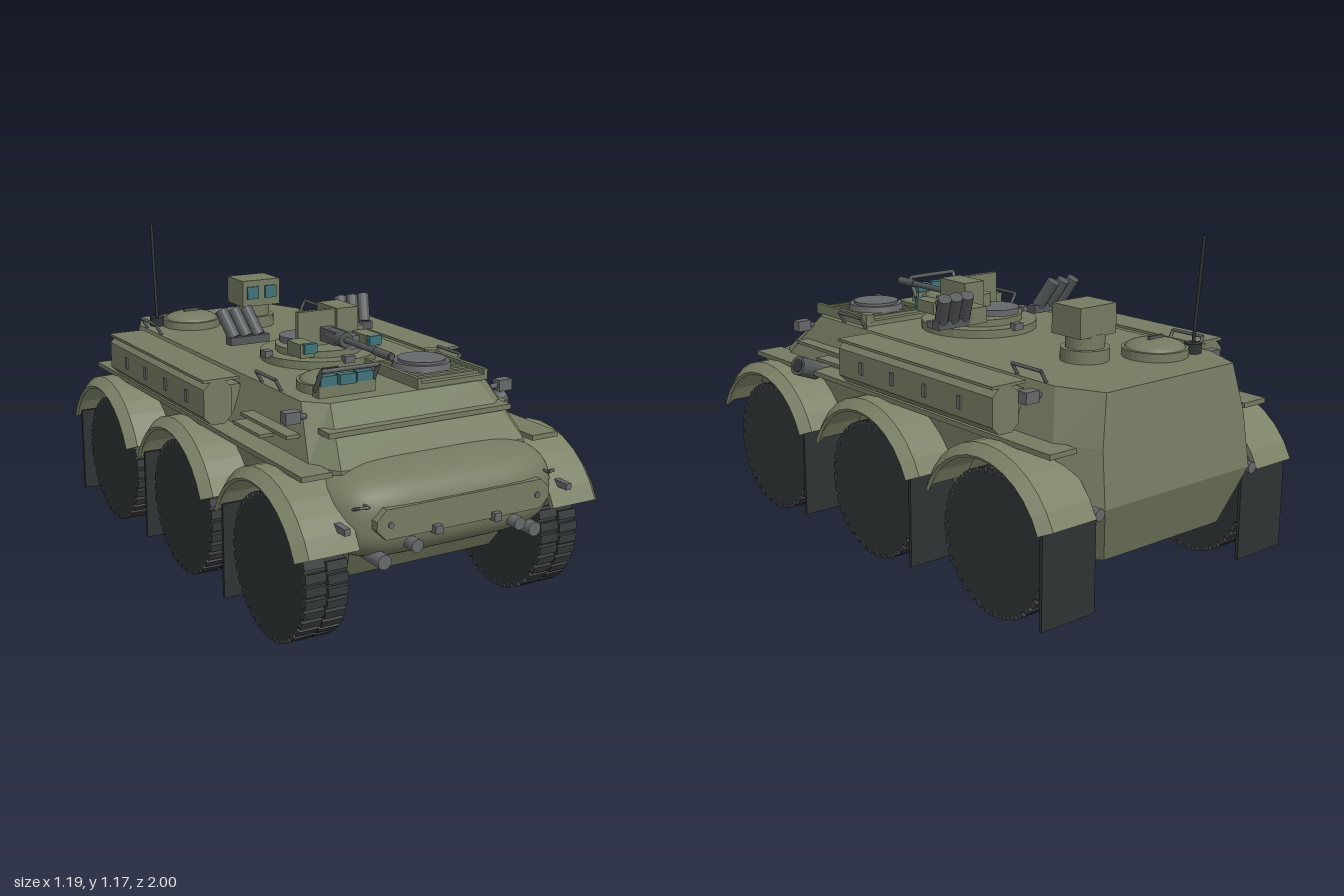
import * as THREE from 'three';
import { mergeGeometries } from 'three/addons/utils/BufferGeometryUtils.js';

const mat = (color, flatShading = true, side = THREE.FrontSide) =>
  Object.assign(new THREE.MeshStandardMaterial({ color, side }), { flatShading });
const GREEN = mat(0x747b61), SMOOTH = mat(0x747b61, false), ARCH = mat(0x7b8266, true, THREE.DoubleSide);
const DARK = mat(0x2e3334), RUBBER = mat(0x363a3b), GREY = mat(0x65686a, false), STEEL = mat(0x55595a);
const GLASS = mat(0x3f7278);

function add(parent, name, geo, material, [x, y, z] = [0, 0, 0]) {
  const m = new THREE.Mesh(geo, material);
  m.name = name;
  m.position.set(x, y, z);
  parent.add(m);
  return m;
}
const box = (p, name, size, pos, m = GREEN) => add(p, name, new THREE.BoxGeometry(...size), m, pos);
const disc = (p, name, r, h, pos, m = GREEN, r2 = r) => add(p, name, new THREE.CylinderGeometry(r2, r, h, 28), m, pos);
// Cylinder between two points
function rod(p, name, a, b, r, m = STEEL, r2 = r) {
  const A = new THREE.Vector3(...a), B = new THREE.Vector3(...b), d = B.clone().sub(A);
  const mesh = add(p, name, new THREE.CylinderGeometry(r2, r, d.length(), 16), m, A.clone().add(B).multiplyScalar(0.5).toArray());
  mesh.quaternion.setFromUnitVectors(new THREE.Vector3(0, 1, 0), d.normalize());
  return mesh;
}
// U-shaped rail through four points
function rail(p, name, pts, r = 0.006, m = STEEL) {
  const g = new THREE.Group();
  g.name = name;
  for (let i = 0; i < pts.length - 1; i++) rod(g, name + 'Bar', pts[i], pts[i + 1], r, m);
  p.add(g);
}

// Hull: chamfered rings stacked by height
function hullGeometry() {
  // y, half width, front z, back z, front chamfer x/z, back chamfer x/z
  const rings = [
    [0.205, 0.35, 0.72, -0.93, 0.06, 0.1, 0.08, 0.1], [0.41, 0.41, 0.85, -1.0, 0.06, 0.1, 0.07, 0.1],
    [0.6, 0.42, 0.8, -0.975, 0.06, 0.1, 0.09, 0.13], [0.77, 0.365, 0.62, -0.95, 0.07, 0.07, 0.07, 0.16]];
  const pos = [], idx = [];
  for (const [y, w, f, b, fx, fz, bx, bz] of rings)
    for (const [x, z] of [[w - fx, f], [w, f - fz], [w, b + bz], [w - bx, b], [bx - w, b], [-w, b + bz], [-w, f - fz], [fx - w, f]])
      pos.push(x, y, z);
  for (let k = 0; k < 3; k++) for (let i = 0; i < 8; i++) {
    const a = k * 8 + i, b = k * 8 + (i + 1) % 8;
    idx.push(a, b, b + 8, a, b + 8, a + 8);
  }
  for (let i = 1; i < 7; i++) idx.push(0, i + 1, i, 24, 24 + i, 25 + i);
  const g = new THREE.BufferGeometry();
  g.setAttribute('position', new THREE.Float32BufferAttribute(pos, 3));
  g.setIndex(idx);
  const flat = g.toNonIndexed();
  flat.computeVertexNormals();
  return flat;
}

// Rounded bow: sphere squared off by powers
function noseGeometry() {
  const g = new THREE.SphereGeometry(1, 56, 36), p = g.attributes.position;
  const q = (v, e, r) => Math.sign(v) * Math.abs(v) ** e * r;
  for (let i = 0; i < p.count; i++)
    p.setXYZ(i, q(p.getX(i), 0.4, 0.44), q(p.getY(i), 0.75, 0.157), q(p.getZ(i), 0.65, 0.27));
  g.computeVertexNormals();
  return g;
}

function octagon(w, h, c) {
  const s = new THREE.Shape(), a = w / 2, b = h / 2;
  [[a - c, -b], [a, c - b], [a, b - c], [a - c, b], [c - a, b], [-a, b - c], [-a, c - b], [c - a, -b]]
    .forEach(([x, y], i) => (i ? s.lineTo(x, y) : s.moveTo(x, y)));
  return s;
}

// Staggered tread lugs in two columns
function treadGeometry() {
  const lugs = [];
  for (let i = 0; i < 36; i++) for (const s of [0, 1]) {
    const g = new THREE.BoxGeometry(0.075, 0.02, 0.03);
    g.translate(s ? 0.04 : -0.04, 0.24, 0);
    g.rotateX((i + s * 0.35) * Math.PI / 18);
    lugs.push(g);
  }
  return mergeGeometries(lugs);
}

function buildDome(root, name, x, z) {
  const g = new THREE.Group();
  g.name = name;
  g.position.set(x, 0.77, z);
  disc(g, 'hatchRing', 0.115, 0.03, [0, 0.015, 0]);
  const d = add(g, 'hatchDome', new THREE.SphereGeometry(0.105, 28, 8, 0, Math.PI * 2, 0, Math.PI / 2), SMOOTH, [0, 0.028, 0]);
  d.scale.y = 0.3;
  box(g, 'hatchHandle', [0.065, 0.012, 0.012], [0, 0.063, 0], STEEL);
  root.add(g);
}

export function createModel() {
  const root = new THREE.Group();
  root.name = 'armouredCarrier';

  add(root, 'hull', hullGeometry(), GREEN);
  add(root, 'nose', noseGeometry(), SMOOTH, [0, 0.46, 0.7]);
  const plate = new THREE.ExtrudeGeometry(octagon(0.67, 0.1, 0.035), { depth: 0.03, bevelEnabled: false });
  add(root, 'nosePlate', plate, GREEN, [0, 0.467, 0.945]);
  box(root, 'splashBoard', [0.72, 0.018, 0.07], [0, 0.695, 0.69]);

  // Wheels, arches and mud flaps
  const tyre = new THREE.CylinderGeometry(0.236, 0.236, 0.155, 48).rotateZ(Math.PI / 2);
  const tread = treadGeometry();
  const section = [[0.318, 0.38], [0.338, 0.38], [0.338, 0.56], [0.303, 0.595], [0.293, 0.588], [0.318, 0.55], [0.318, 0.38]];
  const arch = new THREE.LatheGeometry(section.map(p => new THREE.Vector2(...p)), 12, Math.PI + 0.41, Math.PI - 0.82).rotateZ(-Math.PI / 2);
  for (const z of [0.64, -0.027, -0.695]) for (const s of [1, -1]) {
    const g = new THREE.Group();
    g.name = 'wheelStation';
    g.position.set(0, 0.257, z);
    add(g, 'tyre', tyre, DARK, [s * 0.46, 0, 0]);
    add(g, 'tread', tread, RUBBER, [s * 0.46, 0, 0]);
    rod(g, 'axle', [s * 0.3, 0, 0], [s * 0.4, 0, 0], 0.05, DARK);
    add(g, 'wheelArch', arch, ARCH).rotation.y = s > 0 ? 0 : Math.PI;
    box(g, 'mudFlap', [0.225, 0.34, 0.012], [s * 0.458, -0.03, -0.267], DARK);
    root.add(g);
  }

  // Side shelves, stowage bins and fittings
  const bin = new THREE.ExtrudeGeometry(octagon(0.108, 0.155, 0.028), { depth: 0.86, bevelEnabled: false });
  for (const s of [1, -1]) {
    box(root, 'sideShelf', [0.11, 0.018, 1.73], [s * 0.45, 0.597, -0.06]);
    add(root, 'stowageBin', bin, GREEN, [s * 0.481, 0.69, -0.69]);
    box(root, 'binLid', [0.14, 0.01, 0.86], [s * 0.467, 0.77, -0.26]);
    box(root, 'binBracket', [0.06, 0.1, 0.8], [s * 0.41, 0.69, -0.26]);
    for (let i = 0; i < 4; i++) box(root, 'binLatch', [0.008, 0.045, 0.018], [s * 0.537, 0.69, 0.03 - i * 0.184], GREY);
    box(root, 'sideStep', [0.07, 0.012, 0.33], [s * 0.41, 0.67, 0.435]);
    box(root, 'sideStepLower', [0.06, 0.012, 0.2], [s * 0.43, 0.635, 0.34]);
    for (const z of [0.59, -0.735]) {
      box(root, 'markerLamp', [0.055, 0.04, 0.04], [s * 0.425, 0.735, z], GREY);
      rod(root, 'lampArm', [s * 0.37, 0.73, z], [s * 0.41, 0.735, z], 0.01);
    }
    for (const z of [0.4, -0.6])
      rail(root, 'roofHandle', [[s * 0.35, 0.76, z], [s * 0.378, 0.81, z], [s * 0.378, 0.81, z - 0.14], [s * 0.35, 0.76, z - 0.14]]);
    // Bow lamps and rear lamps
    rod(root, 'headlamp', [s * 0.295, 0.338, 0.8], [s * 0.295, 0.338, 0.96], 0.025, GREY);
    rod(root, 'towStub', [s * 0.2, 0.388, 0.86], [s * 0.2, 0.388, 1.0], 0.022, GREY);
    box(root, 'bowBlock', [0.028, 0.028, 0.05], [s * 0.115, 0.424, 0.97], GREY);
    rod(root, 'bowBolt', [s * 0.285, 0.465, 0.94], [s * 0.285, 0.465, 0.98], 0.01, GREY);
    box(root, 'sideLamp', [0.022, 0.022, 0.16], [s * 0.432, 0.463, 0.88], GREY);
    rail(root, 'bowHandle', [[s * 0.38, 0.5, 0.88], [s * 0.38, 0.525, 0.94], [s * 0.35, 0.525, 0.95], [s * 0.35, 0.525, 0.88]], 0.005);
    rod(root, 'rearLamp', [s * 0.36, 0.4, -0.93], [s * 0.36, 0.4, -1.0], 0.02, GREY);
  }

  // Exhaust on the left side
  rod(root, 'exhaustPipe', [0.4, 0.6, 0.43], [0.5, 0.6, 0.43], 0.028);
  rod(root, 'exhaustTip', [0.47, 0.595, 0.43], [0.56, 0.63, 0.415], 0.036);
  rod(root, 'exhaustBore', [0.555, 0.628, 0.416], [0.562, 0.631, 0.4148], 0.026, DARK);

  // Hatches with domes, periscopes and guard rail
  buildDome(root, 'driverHatch', -0.19, 0.44);
  buildDome(root, 'rearHatch', -0.175, -0.705);
  for (const i of [-1, 0, 1]) box(root, 'periscope', [0.062, 0.035, 0.03], [-0.19 + i * 0.07, 0.825, 0.545 - Math.abs(i) * 0.005], GLASS);
  box(root, 'periscopeBase', [0.22, 0.04, 0.04], [-0.19, 0.79, 0.535]);
  rail(root, 'periscopeGuard', [[-0.3, 0.79, 0.53], [-0.3, 0.865, 0.57], [-0.08, 0.865, 0.57], [-0.08, 0.79, 0.53]], 0.008);

  // Engine deck with louvres and fan cover
  box(root, 'engineDeck', [0.29, 0.02, 0.34], [0.195, 0.778, 0.445]);
  for (let i = 0; i < 9; i++) box(root, 'louvre', [0.25, 0.012, 0.016], [0.195, 0.793, 0.31 + i * 0.034]);
  for (const s of [1, -1]) box(root, 'deckFrame', [0.016, 0.025, 0.34], [0.195 + s * 0.137, 0.795, 0.445]);
  disc(root, 'fanCover', 0.108, 0.035, [0.185, 0.802, 0.435], GREY, 0.1);
  disc(root, 'fanCap', 0.085, 0.012, [0.185, 0.823, 0.435], GREY);
  disc(root, 'fillerCap', 0.025, 0.03, [0.322, 0.8, 0.295]);

  // Turret
  const t = new THREE.Group();
  t.name = 'turret';
  t.position.set(0, 0, 0.03);
  root.add(t);
  disc(t, 'turretRing', 0.215, 0.03, [0, 0.785, 0]);
  disc(t, 'turretDeck', 0.16, 0.03, [0, 0.81, 0]);
  disc(t, 'turretHatch', 0.085, 0.025, [-0.04, 0.835, -0.05], GREY);
  disc(t, 'pintle', 0.035, 0.07, [-0.01, 0.86, 0], GREEN);
  box(t, 'sightHousing', [0.09, 0.14, 0.145], [0.085, 0.887, -0.005]);
  box(t, 'ammoBox', [0.08, 0.06, 0.2], [0.125, 0.85, -0.05]);
  box(t, 'gunShield', [0.2, 0.13, 0.02], [-0.015, 0.89, 0.045]);
  box(t, 'sideBox', [0.06, 0.05, 0.1], [-0.14, 0.84, 0.12]);
  for (const s of [1, -1]) box(t, 'turretWindow', [0.05, 0.035, 0.02], [s * 0.135, 0.85, 0.175], GLASS);
  box(t, 'windowMount', [0.06, 0.045, 0.1], [0.135, 0.845, 0.115]);
  box(t, 'gunBody', [0.05, 0.05, 0.12], [0, 0.868, 0.1], STEEL);
  box(t, 'feedBox', [0.055, 0.05, 0.07], [0.055, 0.845, 0.12], GREY);
  rod(t, 'barrelSleeve', [0, 0.87, 0.1], [0, 0.87, 0.2], 0.028);
  rod(t, 'barrel', [0, 0.87, 0.2], [0, 0.87, 0.5], 0.011);
  rod(t, 'muzzle', [0, 0.87, 0.4], [0, 0.87, 0.495], 0.015);
  // Smoke launchers, four each side
  for (const s of [1, -1]) {
    box(t, 'launcherArm', [0.16, 0.03, 0.04], [s * 0.225, 0.835, -0.13], STEEL);
    for (let i = 0; i < 3; i++) {
      const x = s * (0.18 + i * 0.05);
      rod(t, 'smokeLauncher', [x, 0.845, -0.13], [x + s * 0.025, 0.94, -0.185], 0.024);
    }
    box(t, 'ringLug', [0.03, 0.025, 0.04], [s * 0.215, 0.805, 0], GREY);
    box(t, 'ringLug', [0.04, 0.025, 0.03], [0, 0.805, s * 0.215], GREY);
  }

  // Rear observation sight
  disc(root, 'sightBase', 0.085, 0.05, [0.05, 0.79, -0.595]);
  disc(root, 'sightColumn', 0.068, 0.06, [0.05, 0.835, -0.595]);
  box(root, 'sightHead', [0.165, 0.105, 0.14], [0.052, 0.912, -0.59]);
  for (const s of [1, -1]) box(root, 'sightLens', [0.05, 0.05, 0.01], [0.052 + s * 0.04, 0.915, -0.518], GLASS);

  // Antenna
  disc(root, 'antennaBase', 0.03, 0.04, [-0.3, 0.785, -0.765], DARK);
  rod(root, 'antenna', [-0.3, 0.79, -0.765], [-0.3, 1.18, -0.798], 0.006, DARK);
  return root;
}
